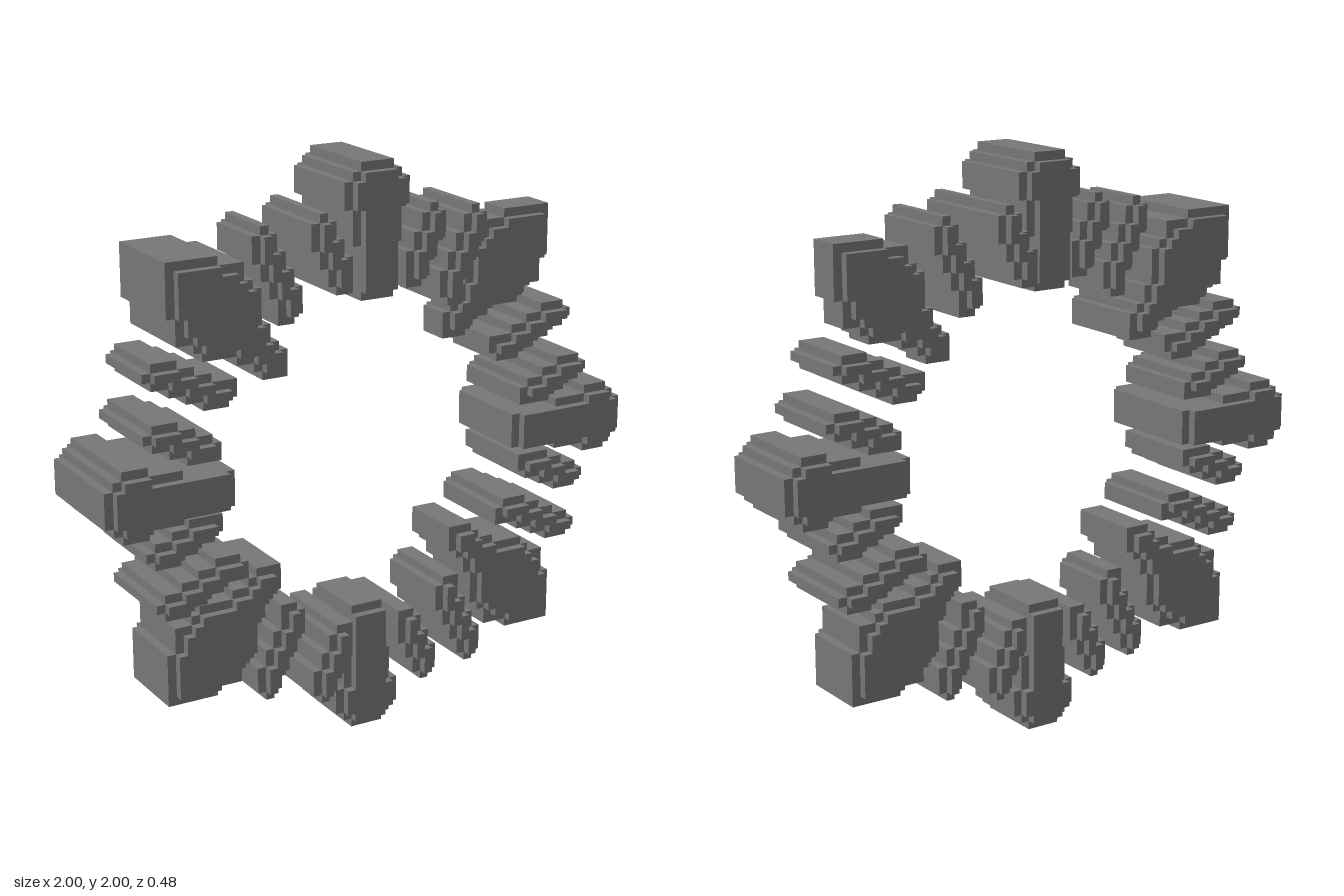
import * as THREE from 'three';
import { mergeGeometries } from 'three/addons/utils/BufferGeometryUtils.js';

const CELL = 2 / 66; // size of one cube of the blocky grid

// Each profile lists cell spans [from, to], row by row going outwards from row `start`,
// measured from the centre of the ring. `face` is the raised area at front and back.
const repeat = (n, span) => Array.from({ length: n }, () => span);

// Strip one cell off the whole outline
function shrink({ start, rows }) {
  const inner = rows.slice(1, -1).map(([a, b], i) => [
    Math.max(a + 1, rows[i][0], rows[i + 2][0]),
    Math.min(b - 1, rows[i][1], rows[i + 2][1]),
  ]);
  return { start: start + 1, rows: inner };
}

const withFace = (body) => ({ body, face: shrink(body) });

const cardinal = {
  body: {
    start: 18,
    rows: [...repeat(6, [-2, 2]), ...repeat(4, [-3, 3]), ...repeat(3, [-4, 4]), [-3, 3], [-2, 2]],
  },
  face: { start: 19, rows: [...repeat(9, [-2, 2]), ...repeat(3, [-3, 3]), [-2, 2]] },
};

// The corner stone is symmetric about its diagonal, so one edge gives both.
const edge = [0, 0, 0, 1, 2, 2, 3, 3, 3, 3, 4, 5, 5, 8];
const corner = withFace({
  start: 11,
  rows: edge.map((from, r) => [11 + from, 11 + edge.filter((e) => e <= r).length]),
});

const innerSmall = withFace({
  start: 19,
  rows: [[3, 5], [3, 6], [3, 6], [3, 7], [4, 7], [4, 8], [5, 8], [5, 8], [6, 7]],
});

const outerSmall = withFace({
  start: 16,
  rows: [[9, 11], [8, 11], [8, 11], [8, 12], [9, 12], [9, 13], [10, 13], [10, 14],
    [11, 14], [11, 14], [12, 13]],
});

// Stepped outline of a profile, swapped and mirrored into its place on the ring
function outline({ start, rows }, swap, sx, sy) {
  const points = [];
  const add = (u, v) => {
    const [x, y] = swap ? [v, u] : [u, v];
    const p = new THREE.Vector2(x * sx * CELL, y * sy * CELL);
    const last = points[points.length - 1];
    if (!last || !last.equals(p)) points.push(p);
  };
  rows.forEach(([, b], i) => {
    add(b, start + i);
    add(b, start + i + 1);
  });
  for (let i = rows.length - 1; i >= 0; i--) {
    add(rows[i][0], start + i + 1);
    add(rows[i][0], start + i);
  }
  return new THREE.Shape(points);
}

function slab(shape, back, front) {
  const geometry = new THREE.ExtrudeGeometry(shape, {
    depth: (front - back) * CELL,
    bevelEnabled: false,
  });
  return geometry.translate(0, 1, back * CELL);
}

export function createModel() {
  const group = new THREE.Group();
  const material = new THREE.MeshStandardMaterial({ color: 0x777777, flatShading: true });

  // A stone is a full slab with a one-cell raised face at front and back
  function stone(name, profile, swap, sx, sy, back, front) {
    const body = outline(profile.body, swap, sx, sy);
    const face = outline(profile.face, swap, sx, sy);
    const mesh = new THREE.Mesh(mergeGeometries([
      slab(body, back, front),
      slab(face, front, front + 1),
      slab(face, back - 1, back),
    ]), material);
    mesh.name = name;
    group.add(mesh);
  }

  // Four long stones at top, bottom, left and right
  stone('topStone', cardinal, false, 1, 1, -5, 6);
  stone('bottomStone', cardinal, false, 1, -1, -4, 4);
  stone('leftStone', cardinal, true, 1, 1, -5, 6);
  stone('rightStone', cardinal, true, -1, 1, -6, 7);

  // Four broad corner stones of different depth
  stone('upperLeftCorner', corner, false, 1, 1, -2, 2);
  stone('lowerLeftCorner', corner, false, 1, -1, -4, 4);
  stone('upperRightCorner', corner, false, -1, 1, -5, 6);
  stone('lowerRightCorner', corner, false, -1, -1, -5, 4);

  // Sixteen slender stones: two between each long stone and its corner
  for (const sx of [1, -1]) {
    for (const sy of [1, -1]) {
      const place = (sy > 0 ? 'upper' : 'lower') + (sx > 0 ? 'Left' : 'Right');
      const deepest = sx > 0 && sy > 0;
      stone(place + 'InnerStone', innerSmall, false, sx, sy, deepest ? -7 : -5, deepest ? 7 : 6);
      stone(place + 'OuterStone', outerSmall, false, sx, sy, -4, sx > 0 ? 6 : 4);
      stone(place + 'SideInnerStone', innerSmall, true, sx, sy, -5, 6);
      stone(place + 'SideOuterStone', outerSmall, true, sx, sy, -5, sy > 0 ? 4 : 6);
    }
  }
  return group;
}
